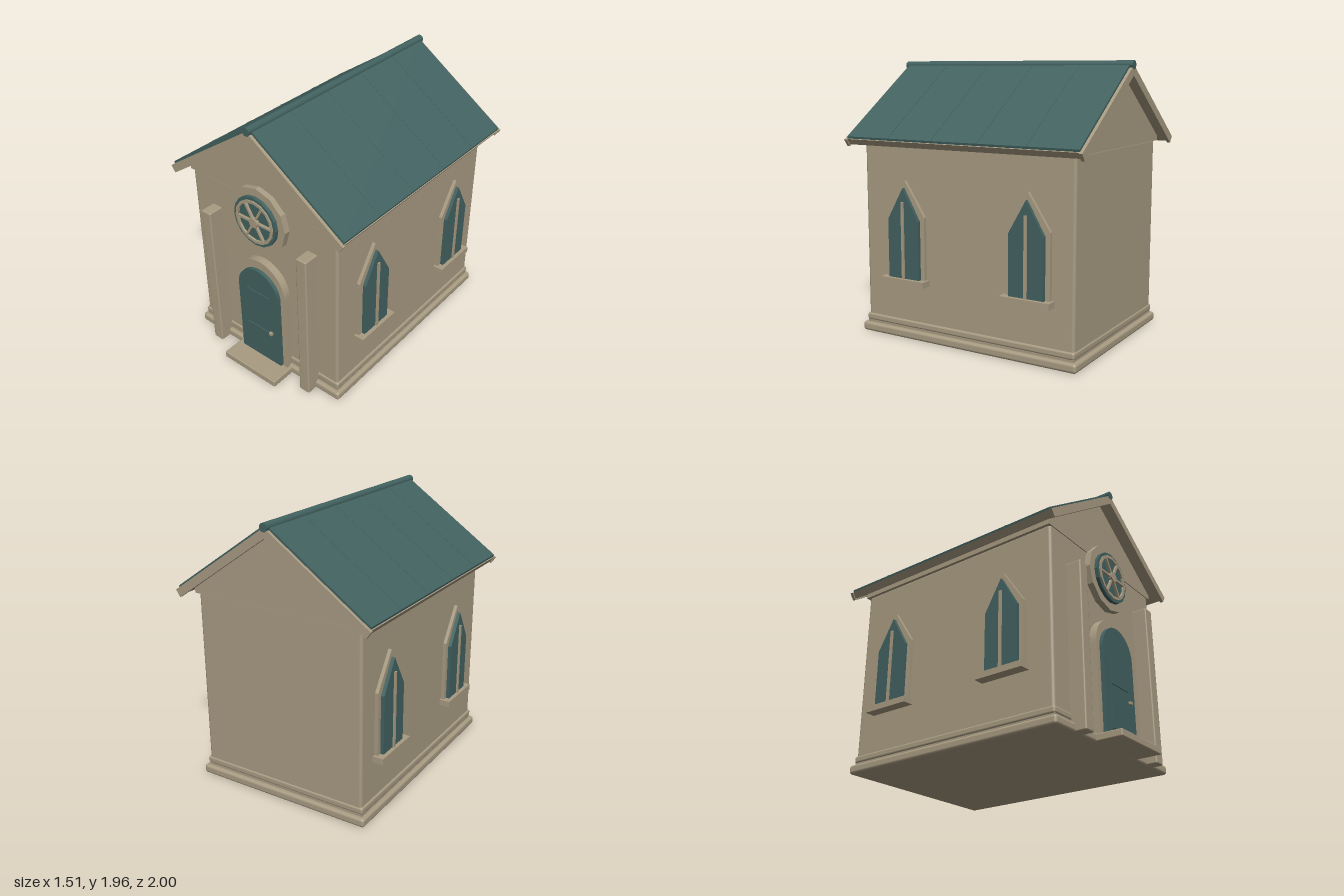
import * as THREE from 'three';
import { RoundedBoxGeometry } from 'three/addons/geometries/RoundedBoxGeometry.js';

export function createModel() {
  const model = new THREE.Group();
  model.name = 'chapel';
  const stone = new THREE.MeshStandardMaterial({ name: 'stone', color: 0xa89b82 });
  const teal = new THREE.MeshStandardMaterial({ name: 'teal', color: 0x426260 });

  const add = (name, geometry, material, parent = model) => {
    const mesh = new THREE.Mesh(geometry, material);
    mesh.name = name;
    parent.add(mesh);
    return mesh;
  };
  // Box given by its limits, optionally with softened edges
  const box = (name, [x0, x1], [y0, y1], [z0, z1], material, parent, r = 0) => {
    const size = [x1 - x0, y1 - y0, z1 - z0];
    const g = r ? new RoundedBoxGeometry(...size, 2, r) : new THREE.BoxGeometry(...size);
    g.translate((x0 + x1) / 2, (y0 + y1) / 2, (z0 + z1) / 2);
    return add(name, g, material, parent);
  };
  // Outline pushed out along z
  const slab = (name, shape, z0, z1, material, parent) => {
    const g = new THREE.ExtrudeGeometry(shape, { depth: z1 - z0, bevelEnabled: false, curveSegments: 12 });
    g.translate(0, 0, z0);
    return add(name, g, material, parent);
  };
  const poly = (points) => new THREE.Shape(points.map(([x, y]) => new THREE.Vector2(x, y)));

  // Walls and stepped base
  box('walls', [-0.64, 0.64], [0.02, 1.39], [-0.9, 0.78], stone, model, 0.02);
  box('lowerPlinth', [-0.675, 0.675], [0, 0.065], [-0.93, 0.815], stone, model, 0.02);
  box('plinthCore', [-0.645, 0.645], [0.05, 0.1], [-0.9, 0.785], stone);
  box('upperPlinth', [-0.652, 0.652], [0.08, 0.13], [-0.907, 0.79], stone, model, 0.015);
  box('doorStep', [-0.245, 0.245], [0.005, 0.055], [0.76, 1], stone, model, 0.008);
  for (const s of [-1, 1]) {
    box('buttress', [s * 0.43 - 0.043, s * 0.43 + 0.043], [0.005, 1.165], [0.77, 0.892], stone, model, 0.01);
  }

  // Gable wall and roof
  slab('gable', poly([[-0.66, 1.38], [0.66, 1.38], [0.66, 1.415], [0, 1.875], [-0.66, 1.415]]), -0.915, 0.785, stone);
  const chevron = (top, bottom) => poly([
    [0, top[0]], [-top[1], top[2]], [-bottom[1], bottom[2]],
    [0, bottom[0]], [bottom[1], bottom[2]], [top[1], top[2]],
  ]);
  slab('roofDeck', chevron([1.93, 0.75, 1.413], [1.872, 0.722, 1.374]), -0.98, 0.86, stone);
  for (const [z0, z1] of [[0.85, 0.873], [-0.995, -0.972]]) {
    slab('bargeBoard', chevron([1.93, 0.757, 1.408], [1.86, 0.724, 1.36]), z0, z1, stone);
  }
  slab('roofCovering', chevron([1.948, 0.748, 1.432], [1.928, 0.744, 1.415]), -0.973, 0.851, teal);
  for (const z of [0.49, 0.125, -0.24, -0.605]) {
    slab('roofSeam', chevron([1.95, 0.749, 1.434], [1.935, 0.744, 1.42]), z - 0.003, z + 0.003, teal);
  }
  const ridge = add('ridgeCap', new THREE.CylinderGeometry(0.03, 0.03, 1.875, 12), teal);
  ridge.rotation.x = Math.PI / 2;
  ridge.position.set(0, 1.93, -0.06);

  // Arched door
  const arch = (w, y0, yc) => {
    const s = new THREE.Shape();
    s.moveTo(-w, y0);
    s.lineTo(w, y0);
    s.lineTo(w, yc);
    s.absarc(0, yc, w, 0, Math.PI);
    return s;
  };
  slab('doorSurround', arch(0.222, 0.05, 0.69), 0.77, 0.835, stone);
  slab('door', arch(0.185, 0.07, 0.662), 0.8, 0.862, teal);
  box('upperDoorPanel', [-0.1, 0.1], [0.42, 0.66], [0.86, 0.869], teal);
  box('lowerDoorPanel', [-0.115, 0.115], [0.115, 0.345], [0.86, 0.869], teal);
  box('doorHandle', [0.1, 0.125], [0.337, 0.357], [0.86, 0.882], stone);

  // Round window
  const rose = new THREE.Group();
  rose.name = 'roseWindow';
  rose.position.set(0, 1.25, 0);
  model.add(rose);
  const circle = (r, n) => Array.from({ length: n }, (_, i) => {
    const a = (i / n) * Math.PI * 2;
    return [r * Math.cos(a), r * Math.sin(a)];
  });
  const ring = (outer, inner, n) => {
    const s = poly(circle(outer, n));
    s.holes.push(poly(circle(inner, n)));
    return s;
  };
  slab('roseSurround', ring(0.245, 0.17, 12), 0.77, 0.825, stone, rose);
  slab('roseOuterRing', ring(0.187, 0.162, 16), 0.78, 0.85, teal, rose);
  slab('roseInnerRing', ring(0.166, 0.145, 16), 0.78, 0.858, stone, rose);
  slab('roseGlass', poly(circle(0.16, 16)), 0.78, 0.843, teal, rose);
  slab('roseHub', poly(circle(0.036, 16)), 0.83, 0.868, stone, rose);
  for (let i = 0; i < 6; i++) {
    const spoke = box('roseSpoke', [0.02, 0.155], [-0.008, 0.008], [0.835, 0.86], stone, rose);
    spoke.rotation.z = (i * Math.PI) / 3;
  }

  // Pointed side windows, built facing +z then turned outward
  const lancet = (w, shoulder, tip) => poly([[-w, 0.435], [w, 0.435], [w, shoulder], [0, tip], [-w, shoulder]]);
  for (const side of [-1, 1]) {
    for (const z of [0.413, -0.573]) {
      const win = new THREE.Group();
      win.name = 'sideWindow';
      win.position.set(side * 0.64, 0, z);
      win.rotation.y = (side * Math.PI) / 2;
      model.add(win);
      slab('windowFrame', lancet(0.164, 0.89, 1.137), -0.01, 0.025, stone, win);
      slab('windowGlass', lancet(0.13, 0.862, 1.087), 0, 0.05, teal, win);
      box('windowMullion', [-0.01, 0.01], [0.44, 0.99], [0.04, 0.062], stone, win);
      box('windowSill', [-0.185, 0.185], [0.402, 0.445], [-0.01, 0.078], stone, win);
    }
  }
  return model;
}
